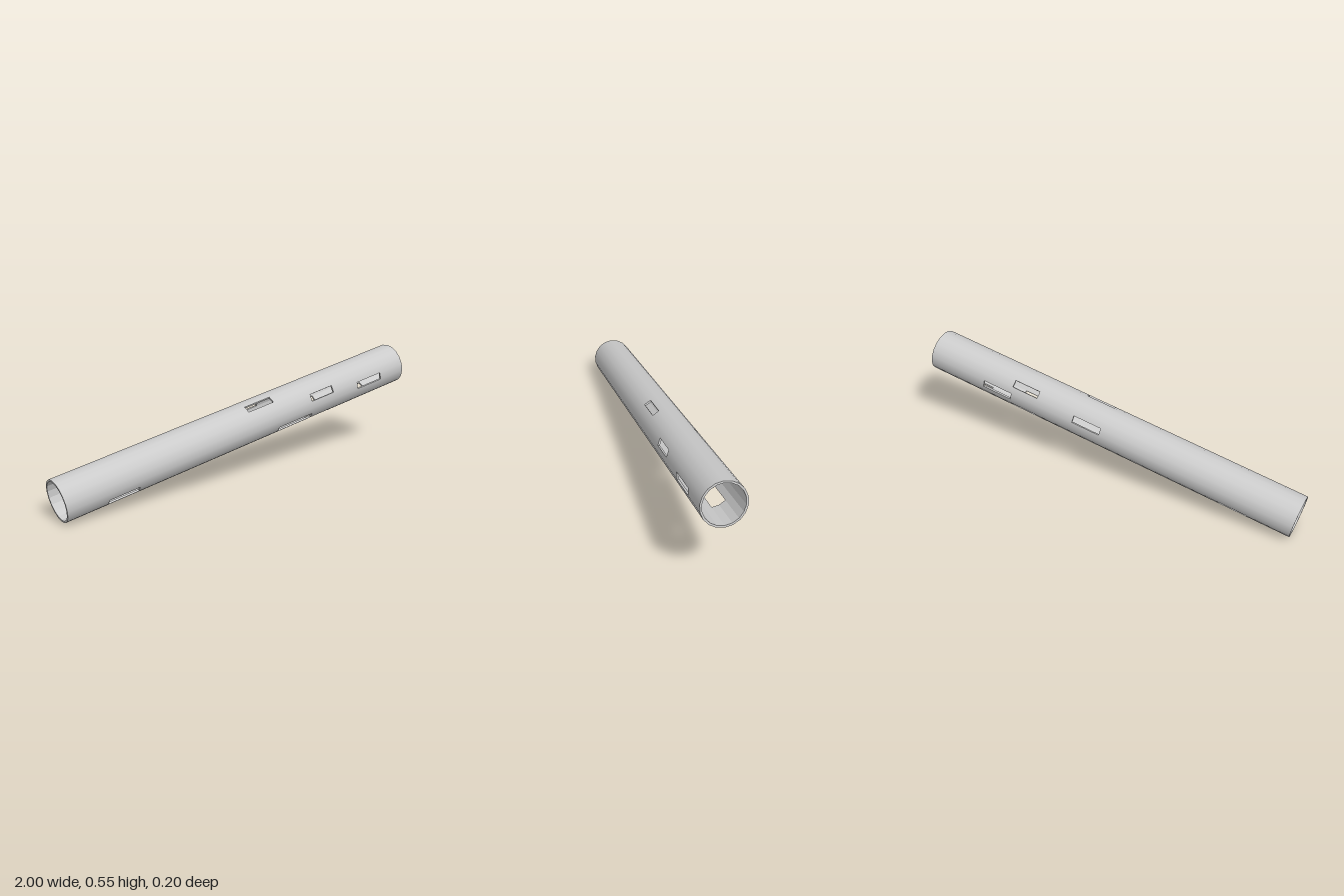
import * as THREE from 'three';

const SIDES = 18, OUTER = 0.104, INNER = 0.0945, HALF = 0.997;
const TILT = THREE.MathUtils.degToRad(10);

// Window cut-outs: [first facet, last facet, start, end] along the tube.
// Facets count from the top round by the front (+z).
const WINDOWS = [
  [1, 1, 0.02, 0.17], [3, 3, 0.38, 0.52], [4, 4, 0.68, 0.84],
  [6, 6, -0.79, -0.63], [6, 6, 0.17, 0.38], [7, 8, 0.38, 0.52],
  [8, 8, -0.95, -0.79], [8, 8, -0.21, 0.01], [9, 9, -0.62, -0.42],
  [9, 10, 0.68, 0.83], [10, 10, 0.02, 0.38], [11, 11, -0.78, -0.63],
  [11, 11, 0.38, 0.52], [13, 13, 0.52, 0.68], [14, 14, 0.02, 0.17],
  [15, 15, 0.38, 0.52],
];

// Point on the tube: position along the axis, corner index, radius
function point(s, k, r) {
  const a = (k / SIDES) * Math.PI * 2;
  return new THREE.Vector3(s, r * Math.cos(a), r * Math.sin(a));
}

function tubeGeometry() {
  const cuts = [...new Set([-HALF, HALF, ...WINDOWS.flatMap(w => [w[2], w[3]])])].sort((a, b) => a - b);
  const positions = [], normals = [];

  const quad = (corners, smooth = false) => {
    const [a, b, c] = corners;
    const flat = b.clone().sub(a).cross(c.clone().sub(a)).normalize();
    for (const i of [0, 1, 2, 0, 2, 3]) {
      const p = corners[i];
      const n = smooth ? new THREE.Vector3(0, p.y, p.z).normalize() : flat;
      positions.push(p.x, p.y, p.z);
      normals.push(n.x, n.y, n.z);
    }
  };

  const solid = (k, i) => {
    if (i < 0 || i >= cuts.length - 1) return false;
    const f = (k + SIDES) % SIDES, mid = (cuts[i] + cuts[i + 1]) / 2;
    return !WINDOWS.some(([k0, k1, s0, s1]) => f >= k0 && f <= k1 && mid > s0 && mid < s1);
  };

  for (let k = 0; k < SIDES; k++) {
    for (let i = 0; i < cuts.length - 1; i++) {
      if (!solid(k, i)) continue;
      const s0 = cuts[i], s1 = cuts[i + 1], m = k + 1;
      const ring = s => [point(s, k, OUTER), point(s, m, OUTER), point(s, m, INNER), point(s, k, INNER)];
      const side = t => [point(s0, t, INNER), point(s1, t, INNER), point(s1, t, OUTER), point(s0, t, OUTER)];
      const skin = r => [point(s0, m, r), point(s1, m, r), point(s1, k, r), point(s0, k, r)];
      // outer and inner skins
      quad(skin(OUTER), true);
      quad(skin(INNER).reverse());
      // rims and window walls wherever the neighbouring cell is open
      if (!solid(k, i + 1)) quad(ring(s1));
      if (!solid(k, i - 1)) quad(ring(s0).reverse());
      if (!solid(k + 1, i)) quad(side(m));
      if (!solid(k - 1, i)) quad(side(k).reverse());
    }
  }

  const geometry = new THREE.BufferGeometry();
  geometry.setAttribute('position', new THREE.Float32BufferAttribute(positions, 3));
  geometry.setAttribute('normal', new THREE.Float32BufferAttribute(normals, 3));
  return geometry;
}

export function createModel() {
  const group = new THREE.Group();
  group.name = 'tiltedTube';
  const tube = new THREE.Mesh(tubeGeometry(), new THREE.MeshStandardMaterial({ color: 0xcccccc }));
  tube.name = 'windowedTube';
  tube.rotation.z = TILT;
  tube.position.y = HALF * Math.sin(TILT) + OUTER * Math.cos(TILT);
  group.add(tube);
  return group;
}
